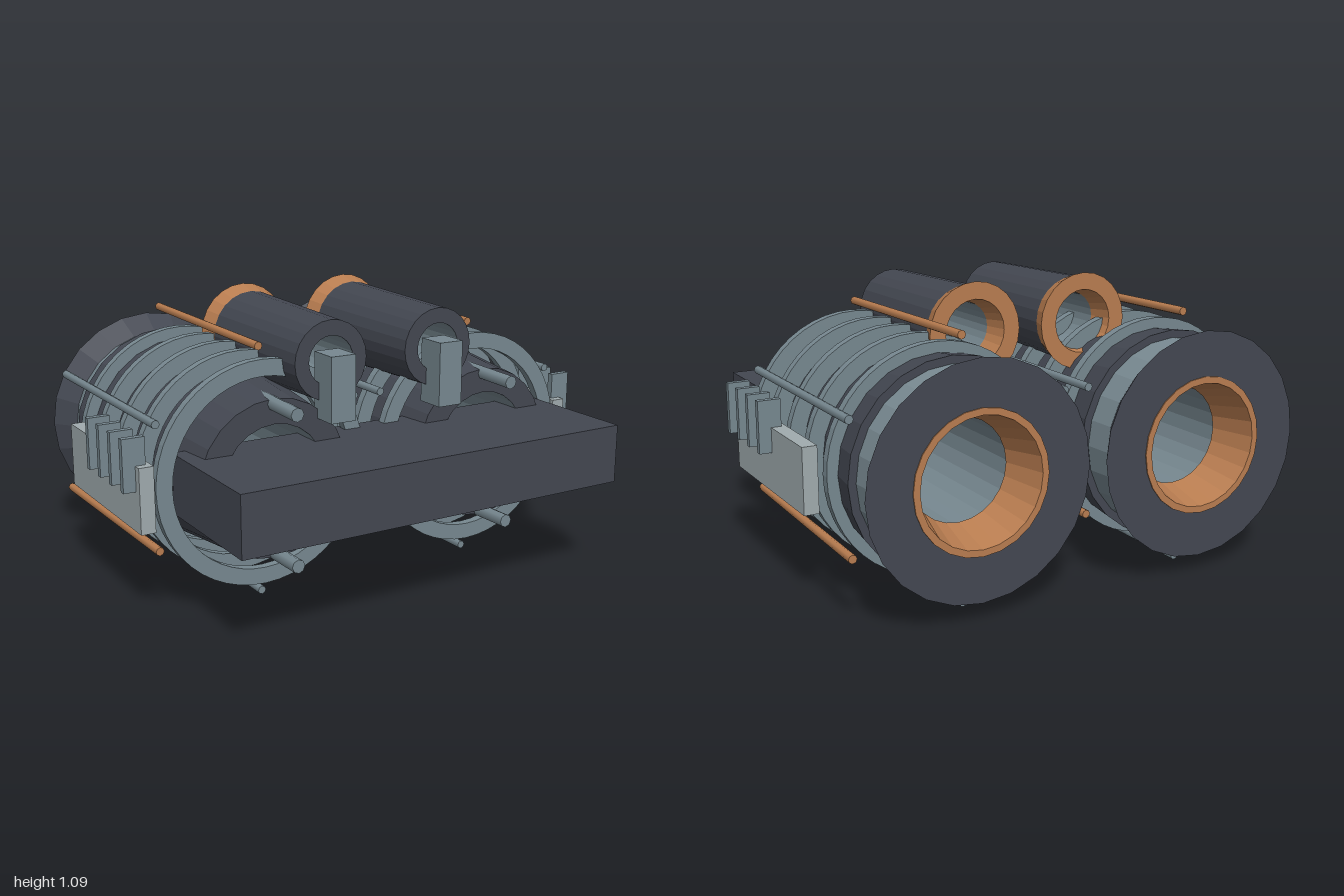
import * as THREE from 'three';

const mat = (name, color) => {
  const m = new THREE.MeshStandardMaterial({ color });
  m.name = name;
  return m;
};

export function createModel() {
  const dark = mat('dark graphite', 0x434751);
  const steel = mat('blue steel', 0x778890);
  const copper = mat('copper', 0xb97d50);
  const pale = mat('pale grey', 0xa0abae);
  const root = new THREE.Group();
  root.name = 'twinEngine';

  const add = (parent, name, geo, material, x = 0, y = 0, z = 0) => {
    const mesh = new THREE.Mesh(geo, material);
    mesh.name = name;
    mesh.position.set(x, y, z);
    parent.add(mesh);
    return mesh;
  };

  // Faceted shell turned around the z axis; profile points are [radius, z],
  // outside running forward and inside running back
  const turned = (points, sides = 24) => {
    const geo = new THREE.LatheGeometry(points.map(([r, z]) => new THREE.Vector2(r, z)), sides)
      .rotateX(Math.PI / 2).toNonIndexed();
    geo.computeVertexNormals();
    return geo;
  };

  // Round bar between two points
  const bar = (parent, name, a, b, radius, material) => {
    const dir = b.clone().sub(a);
    const mesh = add(parent, name, new THREE.CylinderGeometry(radius, radius, dir.length(), 8), material);
    mesh.position.copy(a).add(b).multiplyScalar(0.5);
    mesh.quaternion.setFromUnitVectors(new THREE.Vector3(0, 1, 0), dir.normalize());
  };

  const nacelleParts = [
    ['nacelleBody', dark, [[0.206, -0.57], [0.4, -0.57], [0.3, 0.37], [0.206, 0.37]]],
    ['innerDuct', steel, [[0.206, 0.37], [0.206, -0.6]]],
    ['nozzleNeck', steel, [[0.362, -0.69], [0.37, -0.57]]],
    ['nozzleFlare', dark, [[0.26, -0.772], [0.43, -0.772], [0.362, -0.68]]],
    ['nozzleLiner', copper, [[0.206, -0.6], [0.19, -0.6], [0.235, -0.776], [0.26, -0.776], [0.26, -0.76]]],
  ];
  const tubeParts = [
    ['tubeBody', dark, [[0.165, -0.24], [0.15, 0.38], [0.092, 0.38]]],
    ['tubeDuct', steel, [[0.094, 0.38], [0.1, -0.22]]],
    ['tubeLip', copper, [[0.1, -0.22], [0.122, -0.31], [0.187, -0.31], [0.165, -0.24]]],
  ];

  for (const side of [-1, 1]) {
    const label = side > 0 ? 'left' : 'right';

    // Main nacelle
    const nacelle = new THREE.Group();
    nacelle.name = label + 'Nacelle';
    nacelle.position.set(side * 0.465, 0.495, 0);
    root.add(nacelle);
    for (const [name, material, profile] of nacelleParts) add(nacelle, name, turned(profile), material);

    // Five band rings
    const band = [[0.365, -0.018], [0.428, -0.018], [0.428, 0.018], [0.365, 0.018], [0.365, -0.018]];
    for (let i = 0; i < 5; i++) add(nacelle, 'bandRing', turned(band, 48), steel, 0, 0, 0.273 - i * 0.178);

    // Six rods alternating copper and steel, spreading slightly to the rear
    for (let i = 0; i < 6; i++) {
      const a = Math.PI / 2 + i * Math.PI / 3;
      const at = (r, z) => new THREE.Vector3(Math.cos(a) * r, Math.sin(a) * r, z);
      bar(nacelle, 'rod', at(0.469, 0.257), at(0.479, -0.63), 0.016, i % 2 ? steel : copper);
    }

    // Front pegs above and below the beam
    for (const s of [-1, 1]) {
      bar(nacelle, 'frontPeg', new THREE.Vector3(0, s * 0.278, 0.54),
        new THREE.Vector3(0, s * 0.285, 0.25), 0.026, steel);
    }

    // Upper tube with its front bracket
    const tube = new THREE.Group();
    tube.name = label + 'UpperTube';
    tube.position.set(side * 0.235, 0.908, 0);
    root.add(tube);
    for (const [name, material, profile] of tubeParts) add(tube, name, turned(profile), material);
    add(tube, 'tubeBracket', new THREE.BoxGeometry(0.102, 0.245, 0.12), steel, 0, -0.088, 0.407);

    // Outer panel and fins
    add(root, label + 'SidePanel', new THREE.BoxGeometry(0.056, 0.245, 0.68), pale, side * 0.925, 0.47, -0.05);
    for (let i = 0; i < 4; i++) {
      add(root, label + 'Fin', new THREE.BoxGeometry(0.086, 0.196, 0.025), steel,
        side * 0.957, 0.597, 0.246 - i * 0.109);
    }
  }

  // Cross beam joining both nacelles
  add(root, 'crossBeam', new THREE.BoxGeometry(1.61, 0.226, 0.535), dark, 0, 0.499, 0.503);
  return root;
}
